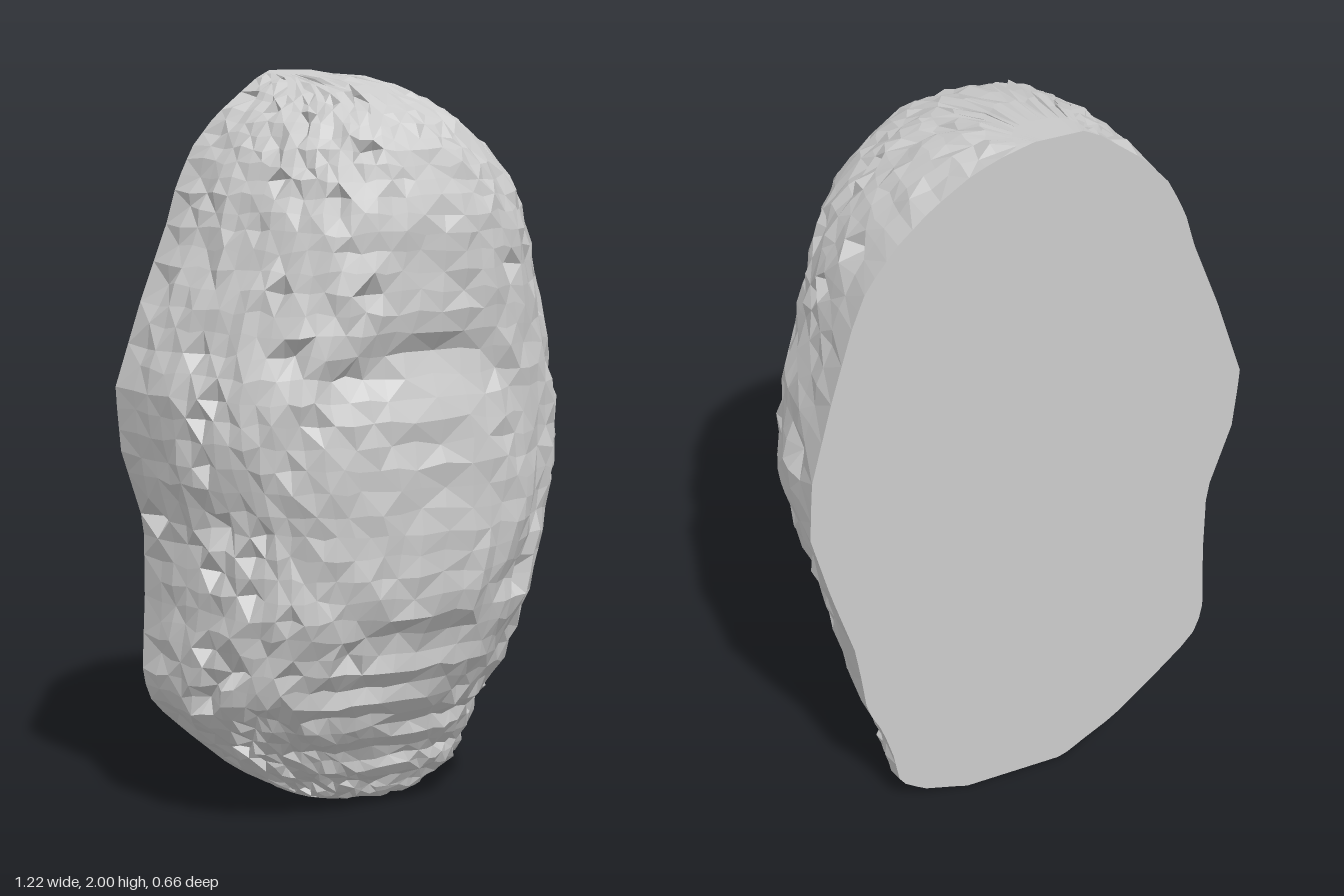
import * as THREE from 'three';

// Height, left edge, right edge, front depth of the stone
const PROFILE = [
  [0.0, -0.10, 0.18, -0.33], [0.01, -0.13, 0.21, -0.10], [0.04, -0.18, 0.31, -0.05],
  [0.09, -0.27, 0.38, 0.0], [0.2, -0.40, 0.40, 0.07], [0.3, -0.51, 0.43, 0.14],
  [0.38, -0.54, 0.47, 0.2], [0.5, -0.535, 0.485, 0.26], [0.6, -0.53, 0.50, 0.31],
  [0.8, -0.53, 0.56, 0.325], [1.0, -0.595, 0.61, 0.32], [1.17, -0.61, 0.60, 0.31],
  [1.4, -0.53, 0.54, 0.305], [1.6, -0.45, 0.48, 0.31], [1.7, -0.42, 0.44, 0.29],
  [1.8, -0.37, 0.36, 0.25], [1.88, -0.30, 0.27, 0.19], [1.95, -0.21, 0.16, 0.07],
  [1.98, -0.17, 0.08, -0.1], [2.0, -0.13, 0.0, -0.33],
];
const BACK = -0.33, ROWS = 50, COLS = 40;

function sampleProfile(y) {
  let i = 0;
  while (i < PROFILE.length - 2 && PROFILE[i + 1][0] < y) i++;
  const a = PROFILE[i], b = PROFILE[i + 1];
  const t = (y - a[0]) / (b[0] - a[0]);
  return a.map((v, k) => THREE.MathUtils.lerp(v, b[k], t));
}

// Small seeded generator
function seeded(seed) {
  return () => {
    seed = (seed * 1664525 + 1013904223) >>> 0;
    return seed / 4294967296;
  };
}

// Shallow relief on the front: a rounded oval boss under a notched brow
function relief(x, y) {
  const oval = Math.hypot((x + 0.02) / 0.37, (y - 0.92) / 0.36);
  const rim = -0.028 * Math.exp(-(((oval - 1.05) / 0.1) ** 2));
  const brow = -0.03 * Math.exp(-(((y - 1.24) / 0.05) ** 2) - ((x + 0.12) / 0.24) ** 2);
  const ledges = y < 0.5 ? 0.012 * Math.sin(y * 60 + x * 4) : 0;
  return rim + brow + ledges;
}

function buildRows() {
  const rand = seeded(11);
  const rows = [];
  for (let r = 0; r <= ROWS; r++) {
    const t = r / ROWS;
    const y = 2 * THREE.MathUtils.lerp(t, (1 - Math.cos(Math.PI * t)) / 2, 0.8);
    const [, left, right, front] = sampleProfile(y);
    const mid = (left + right) / 2, half = (right - left) / 2, depth = front - BACK;
    const inner = r > 1 && r < ROWS - 1;
    const row = [];
    for (let c = 0; c <= COLS; c++) {
      // Boxy half oval running from the right-hand rim over the front
      const a = Math.PI * c / COLS, co = Math.cos(a), si = Math.max(0, Math.sin(a));
      let x = mid + half * Math.sign(co) * Math.abs(co) ** 0.76;
      let z = BACK + depth * (c === 0 || c === COLS ? 0 : si ** 0.76);
      let py = y;
      if (inner && c > 0 && c < COLS) {
        // Rough surface, with chips mostly along the shoulders
        const shoulder = Math.abs(co) > 0.6 && Math.abs(co) < 0.93;
        const chip = rand() < (shoulder ? 0.09 : 0.01) ? 0.035 : 0;
        const push = (rand() - 0.6) * 0.018 - chip;
        x += co * push + (rand() - 0.5) * 0.014;
        z += si * (push + relief(x, y) * si);
        py += (rand() - 0.5) * 0.016;
      }
      row.push([x, Math.min(2, Math.max(0, py)), Math.max(BACK, z)]);
    }
    rows.push(row);
  }
  return rows;
}

function meshFrom(name, positions) {
  const geometry = new THREE.BufferGeometry();
  geometry.setAttribute('position', new THREE.Float32BufferAttribute(positions, 3));
  geometry.computeVertexNormals();
  const material = new THREE.MeshStandardMaterial({ color: 0xcccccc, flatShading: true });
  const mesh = new THREE.Mesh(geometry, material);
  mesh.name = name;
  return mesh;
}

export function createModel() {
  const group = new THREE.Group();
  group.name = 'halfStone';
  const rows = buildRows();
  const rough = [], flat = [];
  for (let r = 0; r < ROWS; r++) {
    const lo = rows[r], hi = rows[r + 1];
    for (let c = 0; c < COLS; c++) {
      const a = lo[c], b = lo[c + 1], d = hi[c], e = hi[c + 1];
      // Alternate the diagonals for an irregular faceted look
      const tris = (r + c) % 2 ? [a, d, b, b, d, e] : [a, d, e, a, e, b];
      tris.forEach((p) => rough.push(...p));
    }
    // Cut face between the two rims
    const [rl, rh, ll, lh] = [lo[0], hi[0], lo[COLS], hi[COLS]];
    [rl, ll, rh, rh, ll, lh].forEach((p) => flat.push(...p));
  }
  group.add(meshFrom('roughFront', rough), meshFrom('flatBack', flat));
  return group;
}
